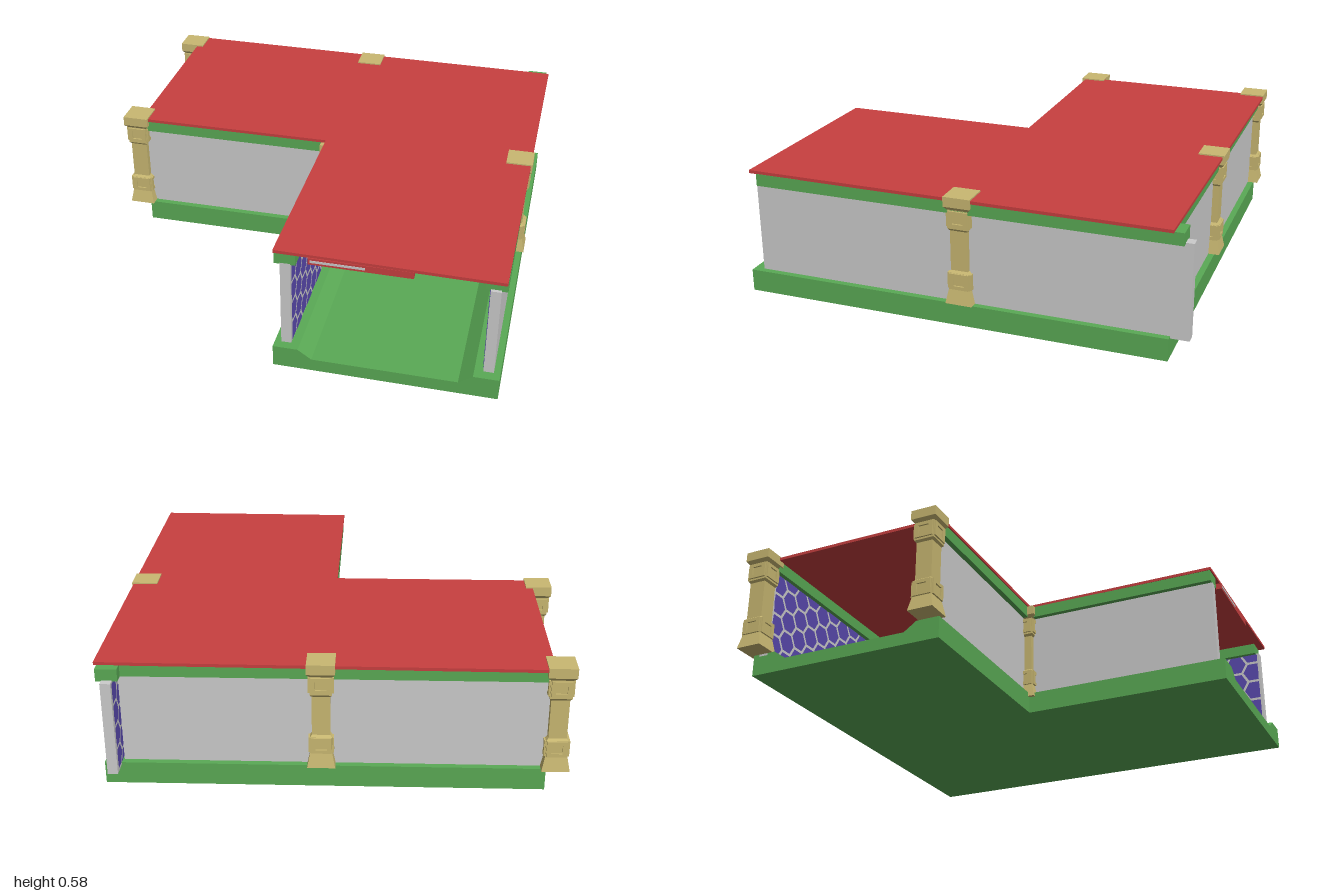
import * as THREE from 'three';

const mat = (color, extra = {}) => new THREE.MeshStandardMaterial({ color, ...extra });
const grey = mat(0xcccccc);
const green = mat(0x5aaa55);
const red = mat(0xc84040);
const tan = mat(0xc9b872, { flatShading: true });
const blue = mat(0x5a4ab0, { side: THREE.DoubleSide });

function add(parent, name, geometry, material, x = 0, y = 0, z = 0) {
  const mesh = new THREE.Mesh(geometry, material);
  mesh.name = name;
  mesh.position.set(x, y, z);
  parent.add(mesh);
  return mesh;
}

// Box given by its lower and upper corners
function block(parent, name, material, [x0, y0, z0], [x1, y1, z1]) {
  return add(parent, name, new THREE.BoxGeometry(x1 - x0, y1 - y0, z1 - z0), material,
    (x0 + x1) / 2, (y0 + y1) / 2, (z0 + z1) / 2);
}

const polygon = (pts) => new THREE.Shape(pts.map(([x, y]) => new THREE.Vector2(x, y)));

// L-shaped slab, outline given in x and z
function slab(parent, name, material, pts, y, height) {
  const g = new THREE.ExtrudeGeometry(polygon(pts.map(([x, z]) => [x, -z])),
    { depth: height, bevelEnabled: false });
  g.rotateX(-Math.PI / 2);
  return add(parent, name, g, material, 0, y, 0);
}

// Hexagon tiles, trimmed to the edges of the wall
function hexTiles(x0, x1, y0, y1) {
  const pitch = 0.103, radius = 0.052, step = pitch * 0.866;
  const shapes = [];
  for (let c = 0, x = x0 + 0.03; x < x1; c++, x += step) {
    for (let r = 0; r < 5; r++) {
      const y = y0 + 0.05 + r * pitch - (c % 2) * pitch / 2;
      if (y - 0.03 > y1) continue;
      const pts = [];
      for (let k = 0; k < 6; k++) {
        const a = k * Math.PI / 3;
        pts.push([
          THREE.MathUtils.clamp(x + radius * Math.cos(a), x0, x1),
          THREE.MathUtils.clamp(y + radius * Math.sin(a), y0, y1)]);
      }
      shapes.push(polygon(pts));
    }
  }
  return new THREE.ShapeGeometry(shapes);
}

// Wall run along local x, with the inside facing local +z
function wallRun(parent, name, x, z, turn, wall, rim, beam) {
  const g = new THREE.Group();
  g.name = name;
  g.position.set(x, 0, z);
  g.rotation.y = turn;
  parent.add(g);

  block(g, 'wallPanel', grey, [wall[0], 0.09, -0.022], [wall[1], 0.515, 0.022]);
  add(g, 'hexTiles', hexTiles(wall[0] + 0.01, wall[1] - 0.01, 0.105, 0.51), blue, 0, 0, 0.025);
  block(g, 'topBeam', green, [beam[0], 0.51, -0.047], [beam[1], 0.565, 0.045]);

  // Raised floor edge that slopes down to the walkway
  const profile = polygon([[-0.05, 0], [0.12, 0], [0.12, 0.058], [0.06, 0.1], [-0.05, 0.1]]);
  const edge = new THREE.ExtrudeGeometry(profile, { depth: rim[1] - rim[0], bevelEnabled: false });
  edge.rotateY(-Math.PI / 2);
  add(g, 'floorEdge', edge, green, rim[1], 0, 0);
  return g;
}

// Square column with flared foot, two framed blocks and a cap
const columnProfile = [
  [0, 0.1], [0.06, 0.1], [0.047, 0.165], [0.047, 0.24], [0.039, 0.25], [0.039, 0.43],
  [0.047, 0.44], [0.047, 0.525], [0.06, 0.54], [0.06, 0.584], [0, 0.584],
];
function column(parent, name, x, z, drop = 0) {
  const g = new THREE.Group();
  g.name = name;
  g.position.set(x, -drop, z);
  parent.add(g);

  const body = new THREE.LatheGeometry(
    columnProfile.map(([w, y]) => new THREE.Vector2(w * Math.SQRT2, y)), 4);
  body.rotateY(Math.PI / 4);
  add(g, 'columnBody', body, tan);

  const frame = polygon([[-0.043, -0.036], [0.043, -0.036], [0.043, 0.036], [-0.043, 0.036]]);
  frame.holes.push(new THREE.Path(
    [[-0.024, -0.02], [-0.024, 0.02], [0.024, 0.02], [0.024, -0.02]].map(([a, b]) => new THREE.Vector2(a, b))));
  const frameGeo = new THREE.ExtrudeGeometry(frame, { depth: 0.008, bevelEnabled: false });
  frameGeo.translate(0, 0, 0.046);
  for (let i = 0; i < 4; i++) {
    for (const y of [0.203, 0.485]) {
      add(g, 'columnFrame', frameGeo, tan, 0, y, 0).rotation.y = i * Math.PI / 2;
    }
  }
}

export function createModel() {
  const model = new THREE.Group();
  model.name = 'cornerCorridor';

  // Floor and roof
  slab(model, 'floor', green,
    [[-0.9, -0.91], [0.98, -0.91], [0.98, 1], [0.01, 1], [0.01, 0.03], [-0.9, 0.03]], 0, 0.058);
  slab(model, 'roof', red,
    [[-0.91, -0.935], [0.99, -0.92], [0.975, 0.975], [0.01, 0.965], [0.015, 0.033], [-0.91, 0.033]], 0.564, 0.014);
  block(model, 'roofLip', red, [0.16, 0.535, 0.945], [0.6, 0.566, 0.972]);
  block(model, 'roofLipStrip', grey, [0.17, 0.545, 0.97], [0.4, 0.556, 0.974]);

  // Walls
  const q = Math.PI / 2;
  wallRun(model, 'backWall', 0, -0.865, 0, [-0.9, 0.9], [-0.9, 0.98], [-0.9, 0.97]);
  wallRun(model, 'notchWall', 0, -0.02, Math.PI, [-0.06, 0.9], [-0.12, 0.9], [-0.1, 0.9]);
  wallRun(model, 'innerWall', 0.06, 0, q, [-0.96, 0.02], [-1, 0.08], [-0.96, 0.06]);
  wallRun(model, 'outerWall', 0.93, 0, -q, [-0.995, 0.955], [-0.91, 1], [-0.96, 0.94]);

  // Columns on the walls
  column(model, 'endColumnBack', -0.938, -0.877);
  column(model, 'endColumnFront', -0.938, -0.01);
  column(model, 'backColumn', 0.052, -0.877);
  column(model, 'outerColumn', 0.93, -0.01);
  column(model, 'cornerColumn', 0.052, 0, 0.02);

  // Columns inside the bend
  for (const x of [0.11, 0.84]) column(model, 'insideColumn', x, -0.79, 0.024);

  return model;
}
